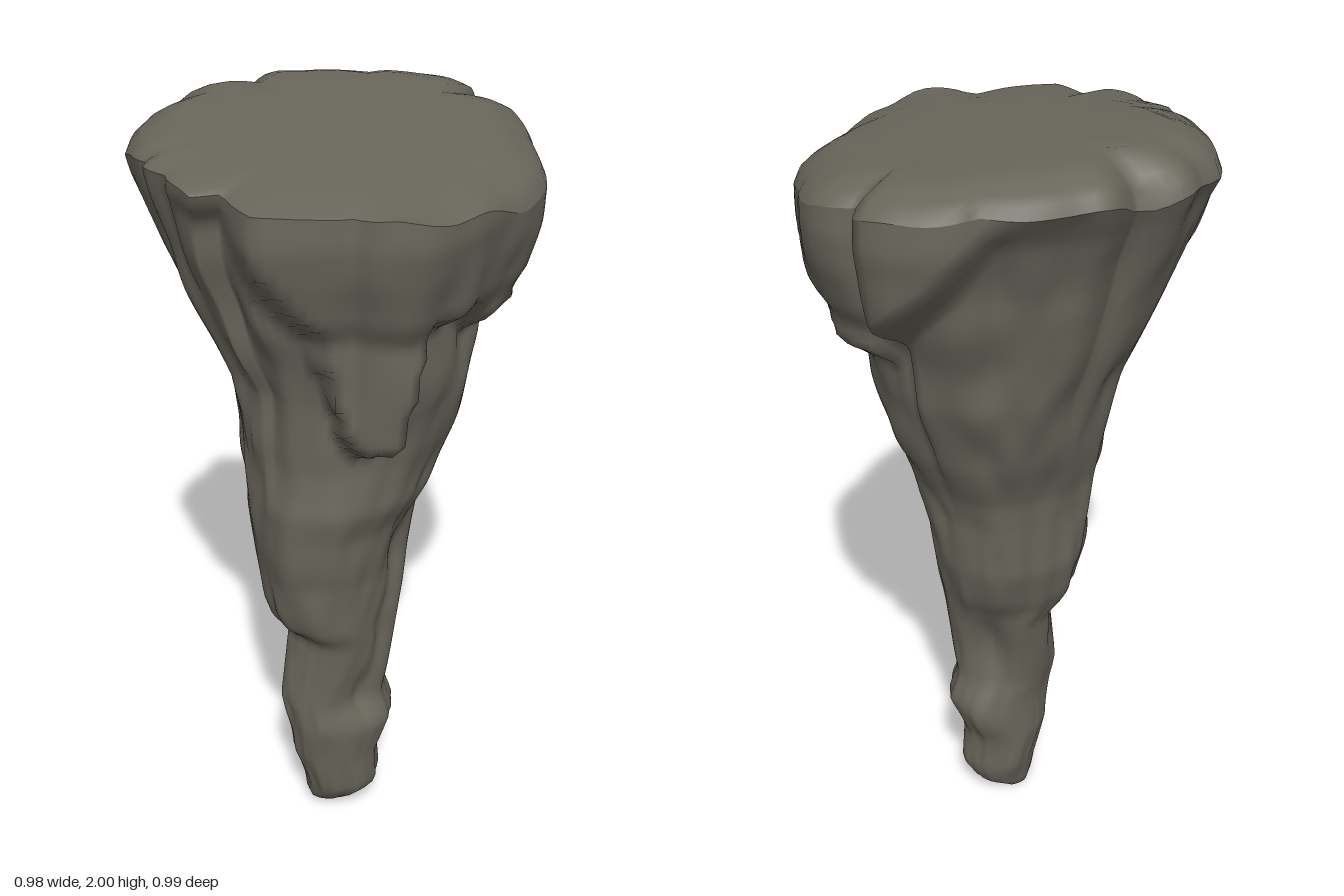
import * as THREE from 'three';

const SEG = 120, ROWS = 90, TAU = Math.PI * 2, DEG = Math.PI / 180;

// Rim outline seen from above, x/z pairs
const RIM = [0.02, -0.5, 0.1, -0.49, 0.2, -0.45, 0.27, -0.4, 0.31, -0.41, 0.37, -0.38, 0.45, -0.3, 0.47, -0.24,
  0.41, -0.19, 0.47, -0.14, 0.49, -0.08, 0.475, 0, 0.44, 0.08, 0.41, 0.16, 0.37, 0.24, 0.27, 0.33, 0.2, 0.37,
  0.13, 0.41, 0.03, 0.46, -0.04, 0.49, -0.09, 0.495, -0.18, 0.43, -0.19, 0.39, -0.28, 0.38, -0.4, 0.32,
  -0.4, 0.18, -0.47, 0.19, -0.48, 0.08, -0.47, 0.05, -0.49, 0, -0.49, -0.04, -0.46, -0.05, -0.47, -0.09,
  -0.46, -0.2, -0.44, -0.31, -0.39, -0.39, -0.3, -0.42, -0.2, -0.48, -0.13, -0.47, -0.1, -0.44];

// Spike body: y, xMin, xMax, zMin, zMax
const BODY = [
  [0, -0.11, -0.05, -0.05, 0.01], [0.04, -0.14, 0.03, -0.06, 0.07], [0.1, -0.15, 0.06, -0.08, 0.12],
  [0.22, -0.185, 0.055, -0.09, 0.13], [0.34, -0.2, 0.1, -0.085, 0.15], [0.42, -0.21, 0.08, -0.09, 0.13],
  [0.64, -0.18, 0.1, -0.13, 0.16], [0.69, -0.23, 0.11, -0.15, 0.17], [0.74, -0.245, 0.125, -0.175, 0.17],
  [0.85, -0.25, 0.15, -0.205, 0.17], [1, -0.27, 0.165, -0.21, 0.2], [1.08, -0.28, 0.19, -0.22, 0.235],
  [1.2, -0.28, 0.24, -0.26, 0.24], [1.4, -0.3, 0.3, -0.31, 0.27], [1.52, -0.345, 0.32, -0.335, 0.29],
  [1.7, -0.41, 0.35, -0.38, 0.32], [1.85, -0.455, 0.4, -0.43, 0.38], [1.93, -0.475, 0.45, -0.475, 0.43]];

// Local swellings and hollows on the body: degrees, y, angular width, height, amount
const BUMPS = [[135, 0.9, 30, 0.2, 0.045], [-45, 0.55, 25, 0.12, -0.05], [-45, 0.3, 25, 0.08, 0.025], [45, 1.35, 22, 0.15, 0.03],
  [80, 1.48, 16, 0.13, 0.045], [50, 0.9, 16, 0.12, -0.03], [62, 0.65, 16, 0.1, -0.03], [80, 0.45, 18, 0.08, -0.025]];

// Lower edge of the overhanging crust: degrees (0 = +x, 90 = front), y
const HEM = [[-180, 1.96], [-150, 2.05], [-75, 2.05], [-60, 1.88], [-45, 1.75], [-30, 1.62], [-18, 1.5], [0, 1.51], [25, 1.53],
  [40, 1.55], [52, 1.54], [70, 1.6], [90, 1.6], [96, 1.42], [100, 1.28], [112, 1.25], [119, 1.29], [123, 1.38],
  [129, 1.6], [150, 1.84], [180, 1.96]];

// Crust outline scale by height
const CRUST = [[1.23, 0.62], [1.27, 0.68], [1.33, 0.79], [1.4, 0.8], [1.6, 0.82], [1.66, 0.9], [1.76, 0.96], [1.85, 1], [1.95, 0.99]];

// Linear lookup in a keyed table
function lookup(table, k, col = 1) {
  if (k <= table[0][0]) return table[0][col];
  for (let i = 1; i < table.length; i++) {
    if (k <= table[i][0]) {
      const t = (k - table[i - 1][0]) / (table[i][0] - table[i - 1][0]);
      return THREE.MathUtils.lerp(table[i - 1][col], table[i][col], t);
    }
  }
  return table[table.length - 1][col];
}

// Rim radius at an angle, as a table sorted by angle and wrapped
const rimTable = [];
for (let i = 0; i < RIM.length; i += 2) {
  const a = Math.atan2(RIM[i + 1], RIM[i]), r = Math.hypot(RIM[i], RIM[i + 1]);
  for (const turn of [-TAU, 0, TAU]) rimTable.push([a + turn, r]);
}
rimTable.sort((p, q) => p[0] - q[0]);

// Smooth seeded 3D value noise, -1 to 1
function hash(x, y, z) {
  let h = Math.imul(x, 374761393) ^ Math.imul(y, 668265263) ^ Math.imul(z, 1274126177);
  h = Math.imul(h ^ (h >>> 13), 1103515245);
  return ((h ^ (h >>> 16)) >>> 0) / 2147483648 - 1;
}
function noise(x, y, z) {
  const f = [x, y, z].map(Math.floor);
  const s = [x, y, z].map((v, i) => { const t = v - f[i]; return t * t * (3 - 2 * t); });
  let sum = 0;
  for (let c = 0; c < 8; c++) {
    const d = [c & 1, (c >> 1) & 1, c >> 2];
    const w = d.reduce((p, b, i) => p * (b ? s[i] : 1 - s[i]), 1);
    sum += w * hash(f[0] + d[0], f[1] + d[1], f[2] + d[2]);
  }
  return sum;
}

// Bell curve across an angle, with wrapping
function bell(a, degrees, width) {
  const d = a - degrees * DEG;
  return Math.exp(-((Math.atan2(Math.sin(d), Math.cos(d)) / (width * DEG)) ** 2));
}

// Point on the rock side at angle a and height y
function sidePoint(a, y) {
  const c = Math.cos(a), s = Math.sin(a), rim = lookup(rimTable, a);
  const [x0, x1, z0, z1] = [1, 2, 3, 4].map((col) => lookup(BODY, y, col));
  const fade = THREE.MathUtils.smoothstep(y, 0.9, 1.9);
  // fluted, lumpy body
  const flute = Math.sin(a * 5 + y * 5 + 1) * 0.015 * (1 - fade);
  const lump = noise(c * 2.6 + 9, y * 4.5, s * 2.6 + 5) * 0.03 + noise(c * 5 + 3, y * 8, s * 5) * 0.04;
  const k = (1 + fade * (rim / 0.475 - 1)) * (1 + flute + lump);
  const bump = BUMPS.reduce((sum, [deg, by, w, h, amt]) => sum + amt * bell(a, deg, w) * Math.exp(-(((y - by) / h) ** 2)), 0);
  const bx = (x0 + x1) / 2 + c * (k * (x1 - x0) / 2 + bump);
  const bz = (z0 + z1) / 2 + s * (k * (z1 - z0) / 2 + bump);
  // crust hanging over the body, fuller on the left, with one long drip at the front
  const edge = lookup(HEM, a / DEG) + noise(c * 6, 2, s * 6) * 0.02;
  const w = THREE.MathUtils.smoothstep(y, edge - 0.025, edge + 0.05);
  const below = THREE.MathUtils.smoothstep(1.9 - y, 0, 0.2);
  const rough = below * (noise(c * 5 + 4, y * 6, s * 5 + 8) * 0.035 + 0.06 * bell(a, 22, 32));
  const r = rim * lookup(CRUST, y) * (1 + rough);
  return [THREE.MathUtils.lerp(bx, c * r, w), THREE.MathUtils.lerp(bz, s * r, w)];
}

const angleAt = (j) => (j / SEG) * TAU - Math.PI;

// Rim height: worn down at two opposite corners, notched at the back
const rimHeight = (a) => 1.93 - 0.04 * Math.max(0, Math.cos(a - 45 * DEG)) - 0.06 * bell(a, 45, 28)
  - 0.05 * bell(a, -135, 20) - 0.04 * bell(a, -102, 9) + 0.012 * noise(Math.cos(a) * 4, 7, Math.sin(a) * 4);

// Joins closed rings of points, listed in order, into one smooth surface
function ringSurface(rings) {
  const index = [];
  for (let i = 0; i < rings.length - 1; i++) {
    for (let j = 0; j < SEG; j++) {
      const a = i * SEG + j, b = i * SEG + (j + 1) % SEG;
      index.push(a, a + SEG, b, b, a + SEG, b + SEG);
    }
  }
  const geo = new THREE.BufferGeometry();
  geo.setAttribute('position', new THREE.Float32BufferAttribute(rings.flat(2), 3));
  geo.setIndex(index);
  geo.computeVertexNormals();
  return geo;
}

export function createModel() {
  const group = new THREE.Group();
  group.name = 'stalactite';
  const stone = new THREE.MeshStandardMaterial({ color: 0x69665b });
  stone.name = 'greyBrownStone';

  // Side: rings from the tip up to the uneven rim
  const rings = [Array.from({ length: SEG }, () => [-0.08, 0, -0.03])];
  for (let i = 0; i <= ROWS; i++) {
    rings.push(Array.from({ length: SEG }, (_, j) => {
      const a = angleAt(j), y = 0.01 + (i / ROWS) * (rimHeight(a) - 0.01);
      const [x, z] = sidePoint(a, y);
      return [x, y, z];
    }));
  }
  const side = new THREE.Mesh(ringSurface(rings), stone);
  side.name = 'rockSpike';

  // Top: slab rising toward the back, rounded down to the rim
  const rim = rings[rings.length - 1];
  const capRings = [1, 0.97, 0.92, 0.84, 0.75, 0.5, 0.25, 0].map((k) => rim.map(([x, y, z]) => {
    const lift = 1.962 - 0.1 * z * k - 0.02 * x * k;
    const t = Math.min(1, (1 - k) / 0.25);
    return [x * k, THREE.MathUtils.lerp(y, lift, Math.sqrt(t)), z * k];
  }));
  const cap = new THREE.Mesh(ringSurface(capRings), stone);
  cap.name = 'flatTop';

  group.add(side, cap);
  return group;
}
